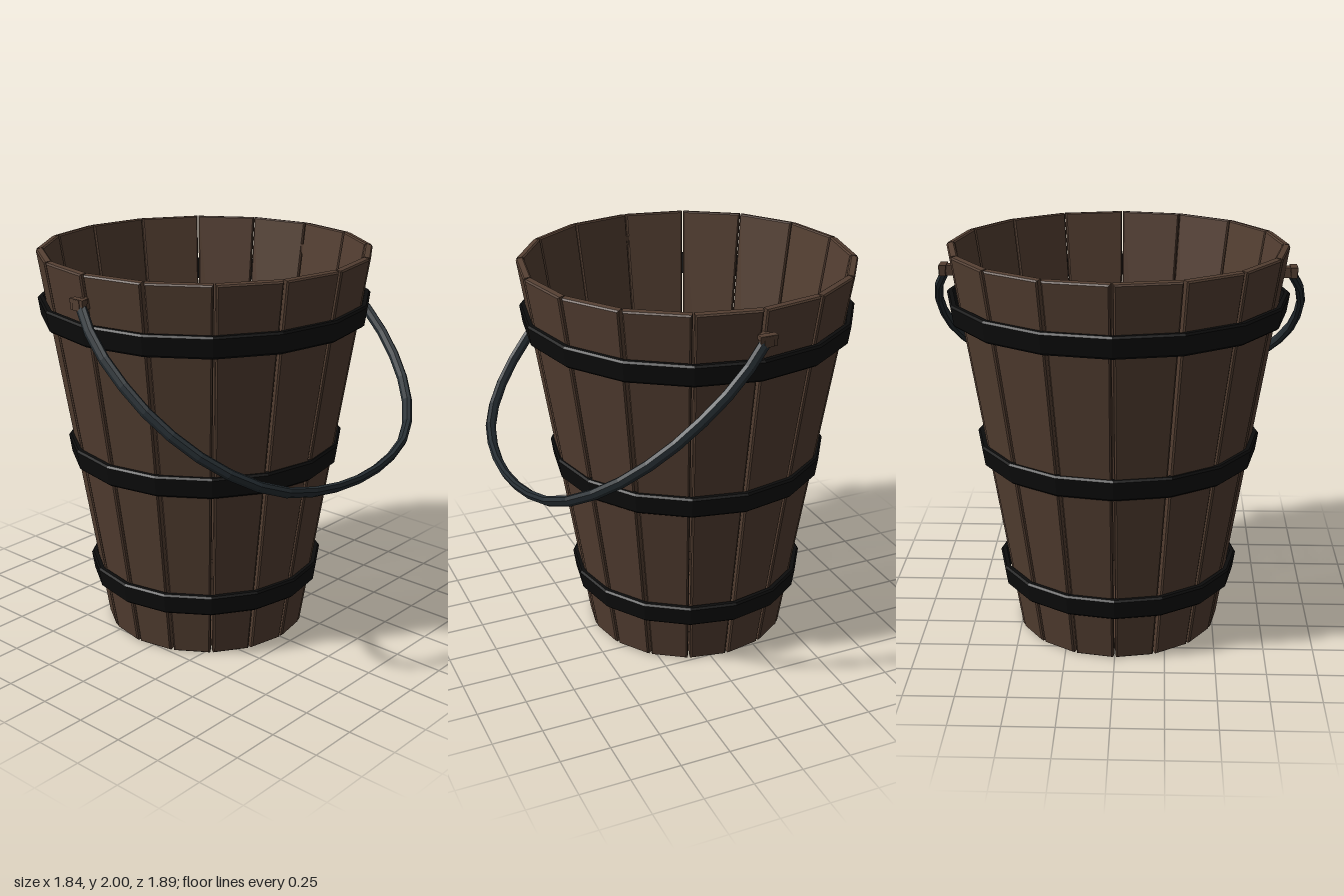
import * as THREE from 'three';

const SIDES = 16;
const STEP = (Math.PI * 2) / SIDES;

const material = (color) => new THREE.MeshStandardMaterial({ color, flatShading: true });
const wood = material(0x543f32);
const iron = material(0x0c0c0c);
const steel = material(0x262e33);

function add(parent, name, geometry, mat) {
  const mesh = new THREE.Mesh(geometry, mat);
  mesh.name = name;
  parent.add(mesh);
  return mesh;
}

// Flat board with chamfered edges: outline in xy, thickness along z from 0 to -t
function board(points, t, bevel) {
  const shape = new THREE.Shape(points.map(([x, y]) => new THREE.Vector2(x, y)));
  const geometry = new THREE.ExtrudeGeometry(shape, {
    depth: t - 2 * bevel, bevelEnabled: true, bevelThickness: bevel,
    bevelSize: bevel, bevelOffset: -bevel, bevelSegments: 1,
  });
  return geometry.translate(0, 0, bevel - t);
}

// Wall of sixteen tapered staves leaning outward, with narrow gaps between
function createStaves() {
  const staves = new THREE.Group();
  staves.name = 'staves';
  const bottom = 0.525, top = 0.842, gap = 0.009;
  const apothem = Math.cos(STEP / 2), half = Math.sin(STEP / 2);
  const lean = Math.atan(((top - bottom) * apothem) / 2);
  const wb = bottom * half - gap, wt = top * half - gap;
  const length = 1.993 / Math.cos(lean);
  const geometry = board([[-wb, 0], [wb, 0], [wt, length], [-wt, length]], 0.04, 0.007);
  geometry.rotateX(lean);
  geometry.translate(0, 0, bottom * apothem);
  for (let i = 0; i < SIDES; i++) {
    add(staves, 'stave', geometry, wood).rotation.y = (i + 0.5) * STEP;
  }
  return staves;
}

// Floor planks, each spanning between two levels of the sixteen-sided outline
function createFloor() {
  const floor = new THREE.Group();
  floor.name = 'floor';
  const r = 0.484, g = 0.001;
  for (let i = 0; i < SIDES / 2; i++) {
    const a = i * STEP - Math.PI / 2, b = a + STEP;
    const xa = Math.max(r * Math.cos(a), 0.002), xb = Math.max(r * Math.cos(b), 0.002);
    const ya = r * Math.sin(a) + g, yb = r * Math.sin(b) - g;
    const bevel = 0.0015;
    const geometry = board([[-xa, ya], [xa, ya], [xb, yb], [-xb, yb]], 0.04, bevel);
    geometry.rotateX(-Math.PI / 2);
    add(floor, 'floorPlank', geometry, wood).position.y = 0.06;
  }
  return floor;
}

// Iron band with chamfered outer edges that follows the slope of the wall
function createHoop(y, radius) {
  const h = 0.055, t = 0.03, c = 0.01, slope = 0.15;
  const profile = [[-t, -h], [-c, -h], [0, c - h], [0, h - c], [-c, h], [-t, h], [-t, -h]]
    .map(([dr, dy]) => new THREE.Vector2(radius + dr + slope * dy, y + dy));
  return new THREE.LatheGeometry(profile, SIDES).scale(1, 1, 1.02);
}

// Swinging bail, drawn flat as (reach, z) and tilted down to one side
function createHandle() {
  const halfCurve = [[0, 0.85], [0.2, 0.915], [0.42, 0.925], [0.62, 0.9], [0.8, 0.84],
    [0.96, 0.75], [1.11, 0.615], [1.215, 0.45], [1.275, 0.23]];
  const points = [
    ...halfCurve, [1.295, 0],
    ...halfCurve.map(([s, z]) => [s, -z]).reverse(),
  ].map(([s, z]) => new THREE.Vector3(s, 0, z));
  const path = new THREE.CatmullRomCurve3(points);
  const geometry = new THREE.TubeGeometry(path, 24, 0.022, 8);
  geometry.scale(1, 1.4, 1);
  return geometry;
}

export function createModel() {
  const model = new THREE.Group();
  model.name = 'bucket';
  const body = new THREE.Group();
  body.name = 'bucketBody';
  body.position.x = -0.087;
  model.add(body);

  body.add(createStaves(), createFloor());
  add(body, 'topHoop', createHoop(1.705, 0.824), iron);
  add(body, 'middleHoop', createHoop(0.975, 0.696), iron);
  add(body, 'bottomHoop', createHoop(0.305, 0.6), iron);

  // Wooden lugs that hold the ends of the handle
  for (const side of [1, -1]) {
    const lug = new THREE.Group();
    lug.name = 'handleLug';
    lug.position.set(0, 1.86, side * 0.83);
    add(lug, 'lugStem', new THREE.BoxGeometry(0.045, 0.05, 0.1), wood);
    add(lug, 'lugCap', new THREE.BoxGeometry(0.08, 0.05, 0.03), wood).position.z = side * 0.03;
    add(lug, 'lugRim', new THREE.BoxGeometry(0.086, 0.02, 0.036), wood).position.set(0, 0.018, side * 0.03);
    body.add(lug);
  }

  const handle = add(body, 'handle', createHandle(), steel);
  handle.position.y = 1.855;
  handle.rotation.z = -0.715;
  return model;
}
